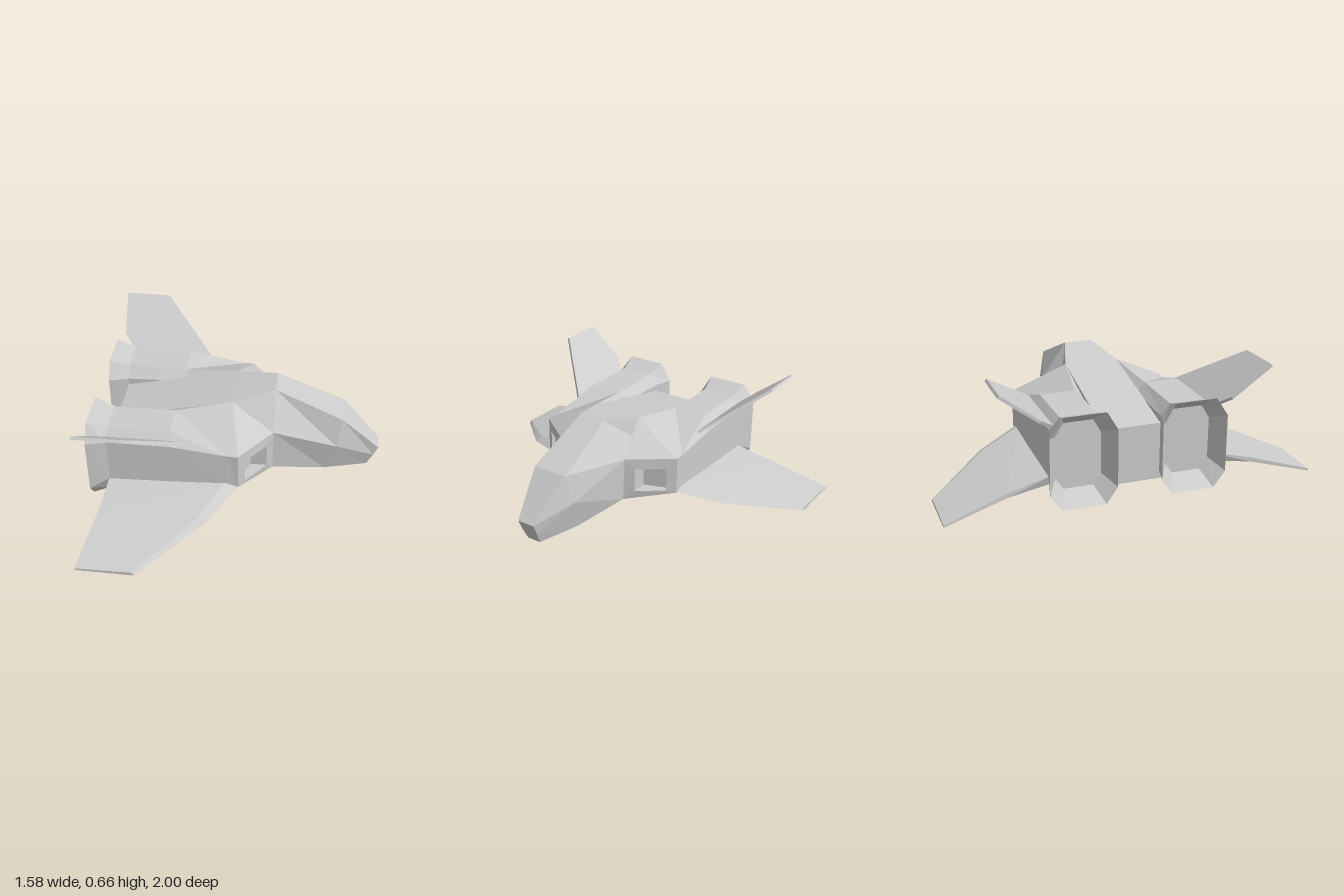
import * as THREE from 'three';

const material = new THREE.MeshStandardMaterial({ color: 0xcccccc, flatShading: true });

// Skin a list of matching rings of [x, y, z] points, optionally closing the ends.
// side = -1 mirrors the result across the centre plane.
function loft(name, rings, { side = 1, start = true, end = true } = {}) {
  const pos = [];
  const tri = (a, b, c) => {
    for (const p of side > 0 ? [a, b, c] : [a, c, b]) pos.push(p[0], p[1], p[2] * side);
  };
  const centre = (ring) => [0, 1, 2].map((k) => ring.reduce((s, p) => s + p[k], 0) / ring.length);
  const n = rings[0].length;
  const first = rings[0], last = rings[rings.length - 1];
  for (let i = 0; i < n; i++) {
    const j = (i + 1) % n;
    for (let r = 0; r < rings.length - 1; r++) {
      const a = rings[r], b = rings[r + 1];
      tri(a[i], a[j], b[j]);
      tri(a[i], b[j], b[i]);
    }
    if (start) tri(centre(first), first[j], first[i]);
    if (end) tri(centre(last), last[i], last[j]);
  }
  const geometry = new THREE.BufferGeometry();
  geometry.setAttribute('position', new THREE.Float32BufferAttribute(pos, 3));
  geometry.computeVertexNormals();
  const mesh = new THREE.Mesh(geometry, material);
  mesh.name = name;
  return mesh;
}

// Ring at constant x from [y, z] pairs
const atX = (x, pts) => pts.map(([y, z]) => [x, y, z]);
// Ring at constant z from [x, y] pairs
const atZ = (z, pts) => pts.map(([x, y]) => [x, y, z]);
// Complete a half ring by mirroring it
const symmetric = (half) => [...half, ...half.map(([x, y, z]) => [x, y, -z]).reverse()];
// Spread four corners over the eight points of a nacelle ring
const eight = ([a, b, c, d]) => [a, b, b, c, c, d, d, a];

function fuselage() {
  return loft('fuselage', [
    atX(-0.68, [[0.37, 0.155], [0.25, 0.16], [0.06, 0.16]]),
    atX(-0.03, [[0.515, 0.15], [0.37, 0.18], [0.07, 0.16]]),
    atX(0.2, [[0.565, 0.08], [0.37, 0.215], [0.12, 0.205]]),
    [[0.58, 0.4, 0.1], [0.55, 0.24, 0.135], [0.49, 0.06, 0.11]],
    [[0.79, 0.185, 0.05], [0.765, 0.13, 0.05], [0.73, 0.055, 0.04]],
  ].map(symmetric));
}

// Points run: top inner, top outer, outer pair, bottom outer, bottom inner, inner pair
const exhaustLip = atX(-0.79, [[0.51, 0.18], [0.51, 0.41], [0.41, 0.475], [0.1, 0.475],
  [0.015, 0.41], [0.015, 0.18], [0.1, 0.12], [0.41, 0.12]]);
const intakeRim = eight([[0.2, 0.37, 0.215], [0.03, 0.37, 0.445], [0.03, 0.16, 0.445], [0.2, 0.12, 0.205]]);

function nacelle(side) {
  return loft('engineNacelle', [
    exhaustLip,
    atX(-0.68, [[0.47, 0.2], [0.47, 0.39], [0.41, 0.445], [0.16, 0.45],
      [0.05, 0.39], [0.05, 0.2], [0.1, 0.15], [0.41, 0.15]]),
    atX(-0.34, [[0.47, 0.2], [0.47, 0.39], [0.41, 0.445], [0.17, 0.45],
      [0.06, 0.38], [0.06, 0.2], [0.08, 0.15], [0.42, 0.15]]),
    atX(-0.03, [[0.515, 0.148], [0.372, 0.438], [0.37, 0.443], [0.185, 0.448],
      [0.12, 0.34], [0.07, 0.17], [0.075, 0.15], [0.45, 0.146]]),
    intakeRim,
  ], { side, start: false, end: false });
}

// Hollow exhaust at the back of a nacelle
function exhaust(side) {
  const throat = exhaustLip.map(([, y, z]) => [-0.69, 0.265 + (y - 0.265) * 0.72, 0.297 + (z - 0.297) * 0.68]);
  return loft('exhaustNozzle', [throat, exhaustLip], { side, end: false });
}

// Slanted intake frame with a rectangular recess
function intake(side) {
  const hole = eight([[0.17, 0.31, 0.26], [0.065, 0.31, 0.4], [0.065, 0.175, 0.4], [0.17, 0.175, 0.26]]);
  const back = hole.map(([x, y, z]) => [z < 0.3 ? 0.08 : 0.03, y, z]);
  return loft('airIntake', [intakeRim, hole, back], { side, start: false });
}

// Drooping main wing, thick at the root
function wing(side) {
  return loft('wing', [
    atZ(0.43, [[0.03, 0.16], [-0.04, 0.185], [-0.68, 0.165], [-0.66, 0.11], [-0.15, 0.1]]),
    atZ(0.67, [[-0.11, 0.1], [-0.16, 0.118], [-0.7, 0.11], [-0.7, 0.085], [-0.22, 0.075]]),
    atZ(1, [[-0.44, 0.008], [-0.46, 0.02], [-0.755, 0.018], [-0.755, 0.006], [-0.46, 0]]),
  ], { side });
}

// Thin tail fin leaning outward
function tailFin(side) {
  const outline = [[-0.78, 0.65], [-0.52, 0.648], [-0.21, 0.41], [-0.67, 0.41], [-0.763, 0.49]];
  const sheet = (t) => outline.map(([x, y]) => [x, y + 0.79 * t, 0.41 + (y - 0.413) * 1.3 - 0.61 * t]);
  return loft('tailFin', [sheet(-0.008), sheet(0.008)], { side });
}

export function createModel() {
  const model = new THREE.Group();
  model.name = 'spacecraft';
  model.add(fuselage());
  for (const side of [1, -1]) {
    const half = new THREE.Group();
    half.name = side > 0 ? 'frontHalf' : 'backHalf';
    half.add(nacelle(side), exhaust(side), intake(side), wing(side), tailFin(side));
    model.add(half);
  }
  return model;
}
